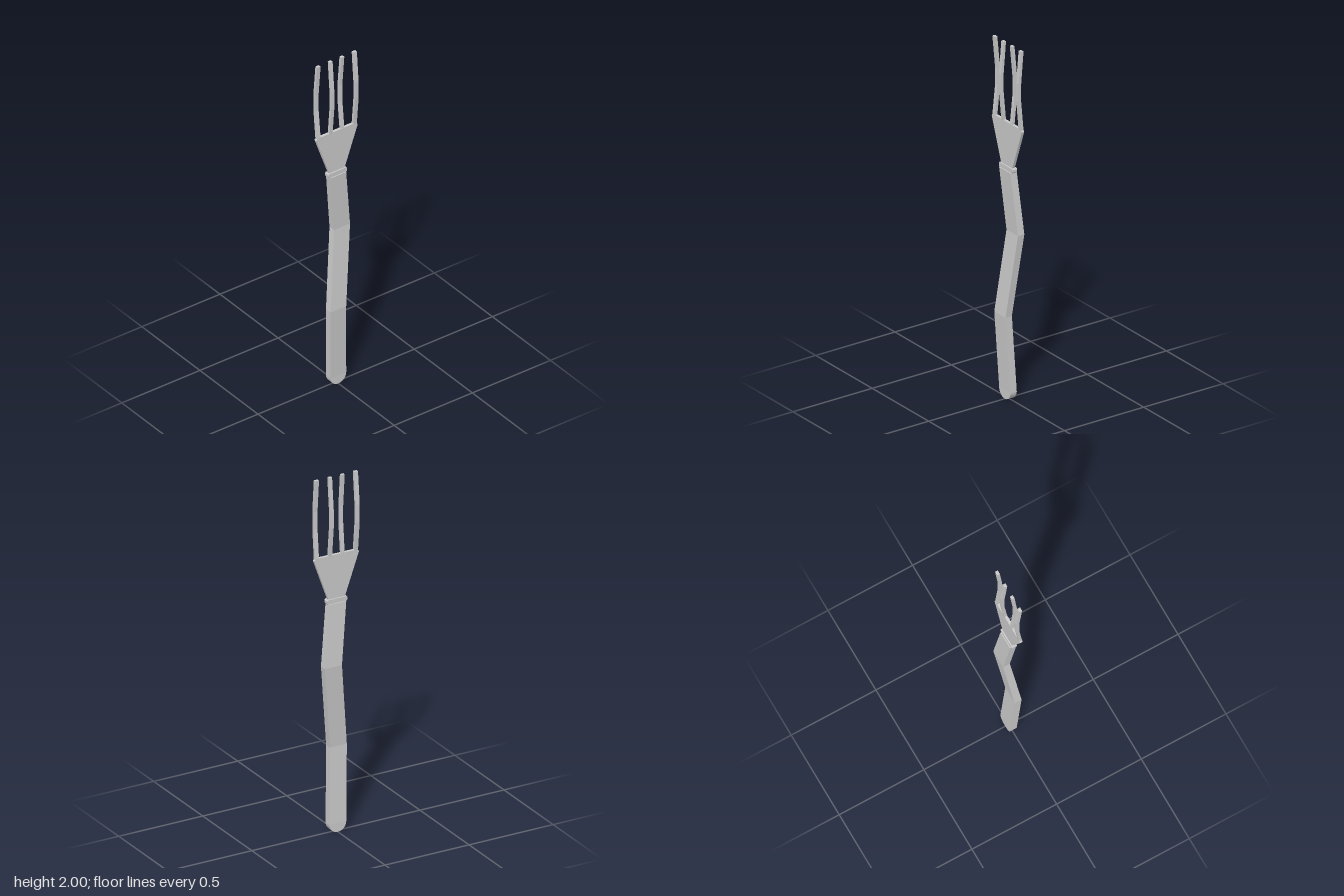
import * as THREE from 'three';

const material = new THREE.MeshStandardMaterial({ color: 0xcccccc, flatShading: true });

// Lofts a bar through rectangular sections [y, x, z, halfWidth, halfDepth], listed bottom to top.
function bar(name, sections) {
  const rings = sections.map(([y, x, z, w, d]) => [
    [x - w, y, z + d], [x + w, y, z + d], [x + w, y, z - d], [x - w, y, z - d],
  ]);
  const positions = [];
  const quad = (a, b, c, d) => positions.push(...a, ...b, ...c, ...a, ...c, ...d);
  for (let i = 0; i < rings.length - 1; i++) {
    const lo = rings[i], hi = rings[i + 1];
    for (let k = 0; k < 4; k++) {
      const n = (k + 1) % 4;
      quad(lo[k], lo[n], hi[n], hi[k]);
    }
  }
  const first = rings[0], last = rings[rings.length - 1];
  quad(first[3], first[2], first[1], first[0]);
  quad(last[0], last[1], last[2], last[3]);
  const geometry = new THREE.BufferGeometry();
  geometry.setAttribute('position', new THREE.Float32BufferAttribute(positions, 3));
  geometry.computeVertexNormals();
  const mesh = new THREE.Mesh(geometry, material);
  mesh.name = name;
  return mesh;
}

export function createModel() {
  const group = new THREE.Group();
  group.name = 'fork';

  // Crooked handle with a half-round lower end
  const handle = [];
  const steps = 12, radius = 0.05;
  for (let i = 0; i <= steps; i++) {
    const a = (i / steps) * Math.PI / 2;
    const w = Math.max(radius * Math.sin(a), 0.0005);
    handle.push([radius * (1 - Math.cos(a)), 0, 0, w, 0.02]);
  }
  handle.push(
    [0.475, -0.015, 0.02, 0.05, 0.02],
    [0.945, 0.038, -0.02, 0.051, 0.02],
    [1.29, 0, 0, 0.05, 0.02],
  );
  group.add(bar('handle', handle));

  // Collar with softened corners
  group.add(bar('collar', [
    [1.29, 0, 0, 0.056, 0.015],
    [1.296, 0, 0, 0.06, 0.015],
    [1.309, 0, 0, 0.06, 0.015],
    [1.315, 0, 0, 0.056, 0.015],
  ]));

  // Flared head plate
  group.add(bar('head', [
    [1.31, 0, 0, 0.048, 0.008],
    [1.548, 0, 0, 0.133, 0.008],
    [1.56, 0, 0, 0.124, 0.008],
  ]));

  // Four tines bowed alternately backward and forward
  [-0.116, -0.038, 0.037, 0.116].forEach((x, i) => {
    const bow = i % 2 ? 0.015 : -0.017;
    const w = i === 0 || i === 3 ? 0.011 : 0.0098;
    group.add(bar('tine' + (i + 1), [
      [1.555, x, 0, w, 0.008],
      [1.72, x, bow, w, 0.008],
      [1.82, x, bow, w, 0.008],
      [2, x, 0, w, 0.008],
    ]));
  });

  return group;
}
